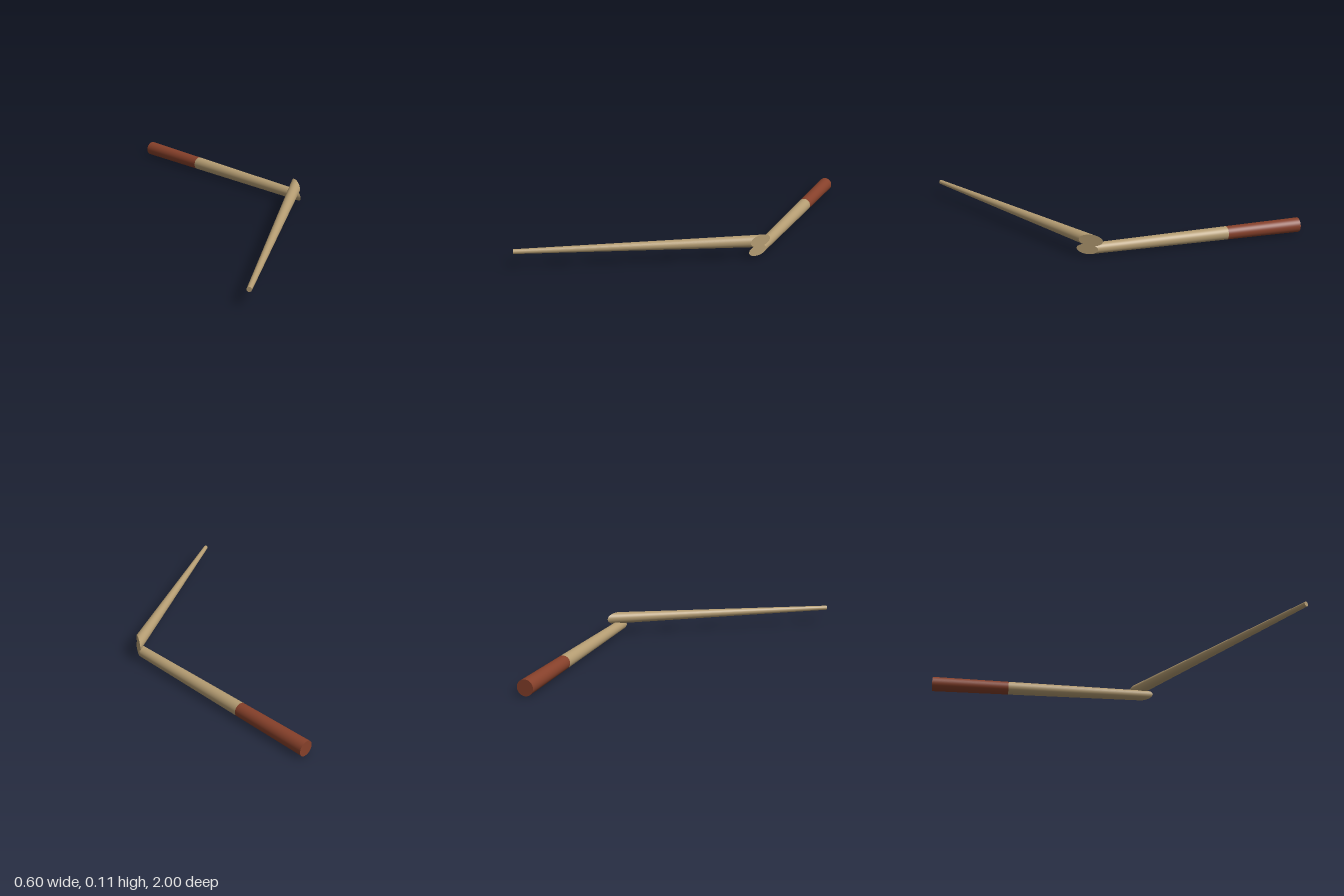
import * as THREE from 'three';

const HINGE_X = 0.3; // both rods are cut off flush at this plane
const Y_AXIS = new THREE.Vector3(0, 1, 0);

// Tapered rod from a to b. keepStart / keepEnd choose the caps;
// mitre slides the end ring along the axis onto the plane x = HINGE_X.
function rod(name, color, a, b, ra, rb, { keepStart = true, keepEnd = true, mitre = false }) {
  const axis = b.clone().sub(a);
  const length = axis.length();
  axis.normalize();
  const geo = new THREE.CylinderGeometry(rb, ra, length, 48);

  // Drop caps that would be buried inside the joint
  const [side, top, bottom] = geo.groups;
  const all = Array.from(geo.index.array);
  const kept = [side, keepEnd && top, keepStart && bottom].filter(Boolean);
  geo.setIndex(kept.flatMap((g) => all.slice(g.start, g.start + g.count)));
  geo.clearGroups();

  const pos = geo.attributes.position;
  const nor = geo.attributes.normal;
  const isEnd = [], isCap = [];
  for (let i = 0; i < pos.count; i++) {
    isEnd.push(pos.getY(i) > 0);
    isCap.push(nor.getY(i) > 0.99);
  }
  geo.applyQuaternion(new THREE.Quaternion().setFromUnitVectors(Y_AXIS, axis));
  const mid = a.clone().lerp(b, 0.5);
  geo.translate(mid.x, mid.y, mid.z);

  if (mitre) {
    const p = new THREE.Vector3();
    for (let i = 0; i < pos.count; i++) {
      if (!isEnd[i]) continue;
      p.fromBufferAttribute(pos, i);
      p.addScaledVector(axis, (HINGE_X - p.x) / axis.x);
      pos.setXYZ(i, p.x, p.y, p.z);
      if (isCap[i]) nor.setXYZ(i, 1, 0, 0);
    }
  }
  const mesh = new THREE.Mesh(geo, new THREE.MeshStandardMaterial({ color }));
  mesh.name = name;
  return mesh;
}

export function createModel() {
  const group = new THREE.Group();
  group.name = 'bentStick';
  const wood = 0xb49c72;
  const leather = 0x86402a;

  // Upper rod, tapering to a thin tip at the front
  const tip = new THREE.Vector3(-0.292, 0.085, 0.994);
  const upperCut = new THREE.Vector3(HINGE_X, 0.085, -0.031);
  group.add(rod('upperRod', wood, tip, upperCut, 0.0115, 0.03, { mitre: true }));

  // Lower rod: dark grip at the back, bare shaft up to the joint
  const butt = new THREE.Vector3(-0.258, 0.0375, -0.981);
  const lowerCut = new THREE.Vector3(HINGE_X, 0.0385, -0.014);
  const t = 0.353;
  const gripEnd = butt.clone().lerp(lowerCut, t);
  const rButt = 0.0375, rCut = 0.0268;
  const rGrip = THREE.MathUtils.lerp(rButt, rCut, t);
  group.add(rod('grip', leather, butt, gripEnd, rButt, rGrip, { keepEnd: false }));
  group.add(rod('lowerShaft', wood, gripEnd, lowerCut, rGrip, rCut, { keepStart: false, mitre: true }));

  return group;
}
